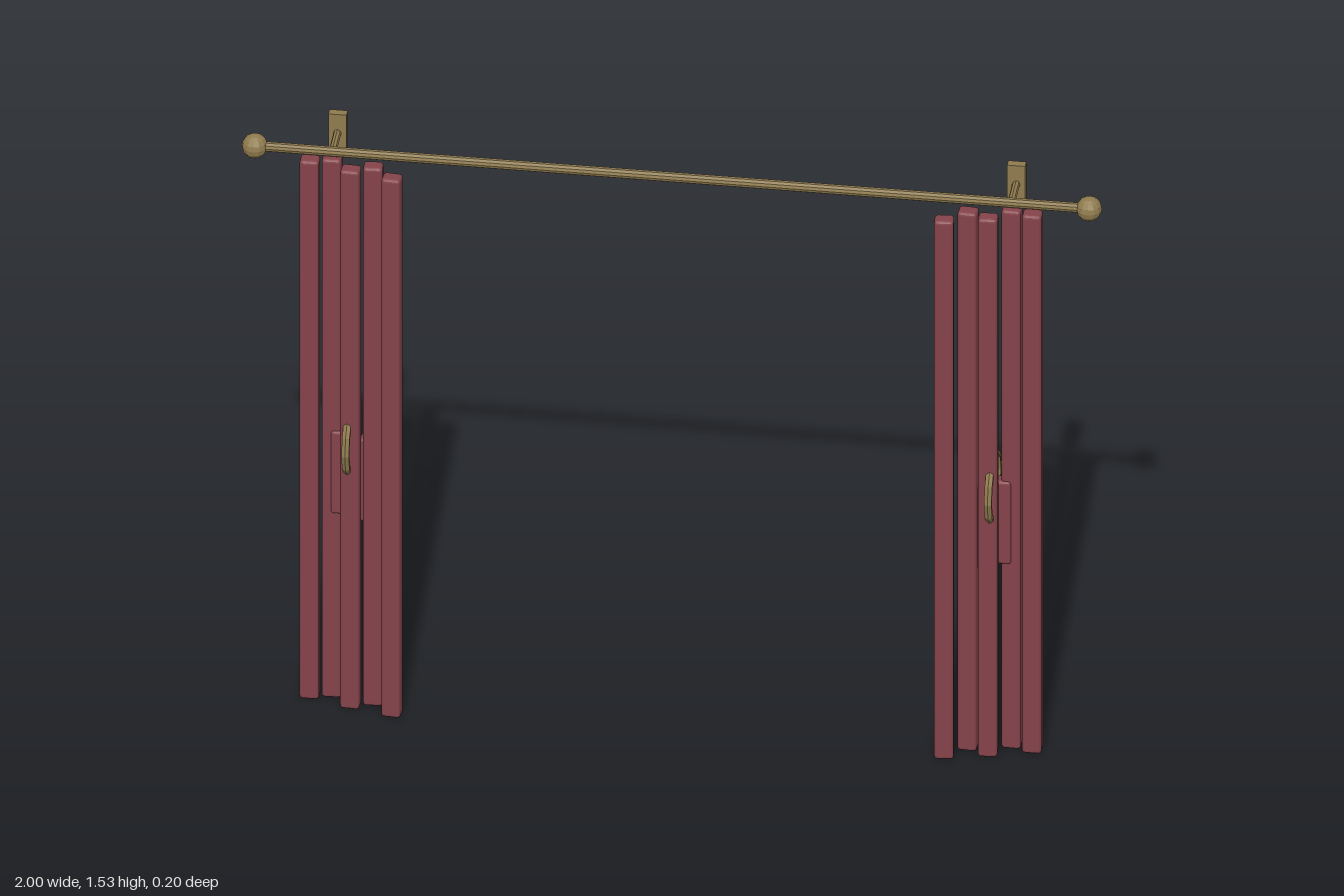
import * as THREE from 'three';
import { RoundedBoxGeometry } from 'three/addons/geometries/RoundedBoxGeometry.js';

const brass = new THREE.MeshStandardMaterial({ color: 0x8f7b4e, flatShading: true });
const cloth = new THREE.MeshStandardMaterial({ color: 0x84434a, flatShading: true });

function add(parent, name, geometry, material, x, y, z) {
  const mesh = new THREE.Mesh(geometry, material);
  mesh.name = name;
  mesh.position.set(x, y, z);
  parent.add(mesh);
  return mesh;
}

export function createModel() {
  const model = new THREE.Group();
  model.name = 'curtains';
  const rodY = 1.485;

  // Rod across the full width
  const rod = add(model, 'rod', new THREE.CylinderGeometry(0.012, 0.012, 1.94, 10), brass, 0, rodY, 0);
  rod.rotation.z = Math.PI / 2;

  // Depth of each fold, from the inner edge outwards
  const foldDepths = [0.066, 0.023, 0.043, 0, 0.014];
  const foldTurns = [0.08, -0.06, 0.05, -0.03, 0];

  for (const side of [-1, 1]) {
    const half = new THREE.Group();
    half.name = side > 0 ? 'leftCurtain' : 'rightCurtain';
    model.add(half);

    // Ball at the end of the rod
    add(half, 'finial', new THREE.SphereGeometry(0.03, 12, 8), brass, side * 0.97, rodY, 0);

    // Wall bracket: arm and plate
    const arm = add(half, 'bracketArm', new THREE.CylinderGeometry(0.009, 0.009, 0.085, 8), brass, side * 0.789, rodY, -0.0425);
    arm.rotation.x = Math.PI / 2;
    add(half, 'bracketPlate', new THREE.BoxGeometry(0.042, 0.1, 0.02), brass, side * 0.789, rodY, -0.09);

    // Hanging folds
    foldDepths.forEach((z, i) => {
      const fold = add(half, 'fold', new RoundedBoxGeometry(0.045, 1.472, 0.038, 2, 0.008), cloth,
        side * (0.642 + 0.0495 * i), 0.736, z);
      fold.rotation.y = side * foldTurns[i];
    });

    // Tieback ring and its two short tails
    const ring = add(half, 'tiebackRing', new THREE.TorusGeometry(0.08, 0.01, 6, 12), brass, side * 0.747, 0.712, 0.009);
    ring.rotation.y = Math.PI / 2;
    for (const [x, y] of [[0.773, 0.62], [0.705, 0.605]]) {
      add(half, 'tiebackTail', new RoundedBoxGeometry(0.036, 0.225, 0.034, 2, 0.007), cloth, side * x, y, 0.007);
    }
  }
  return model;
}
